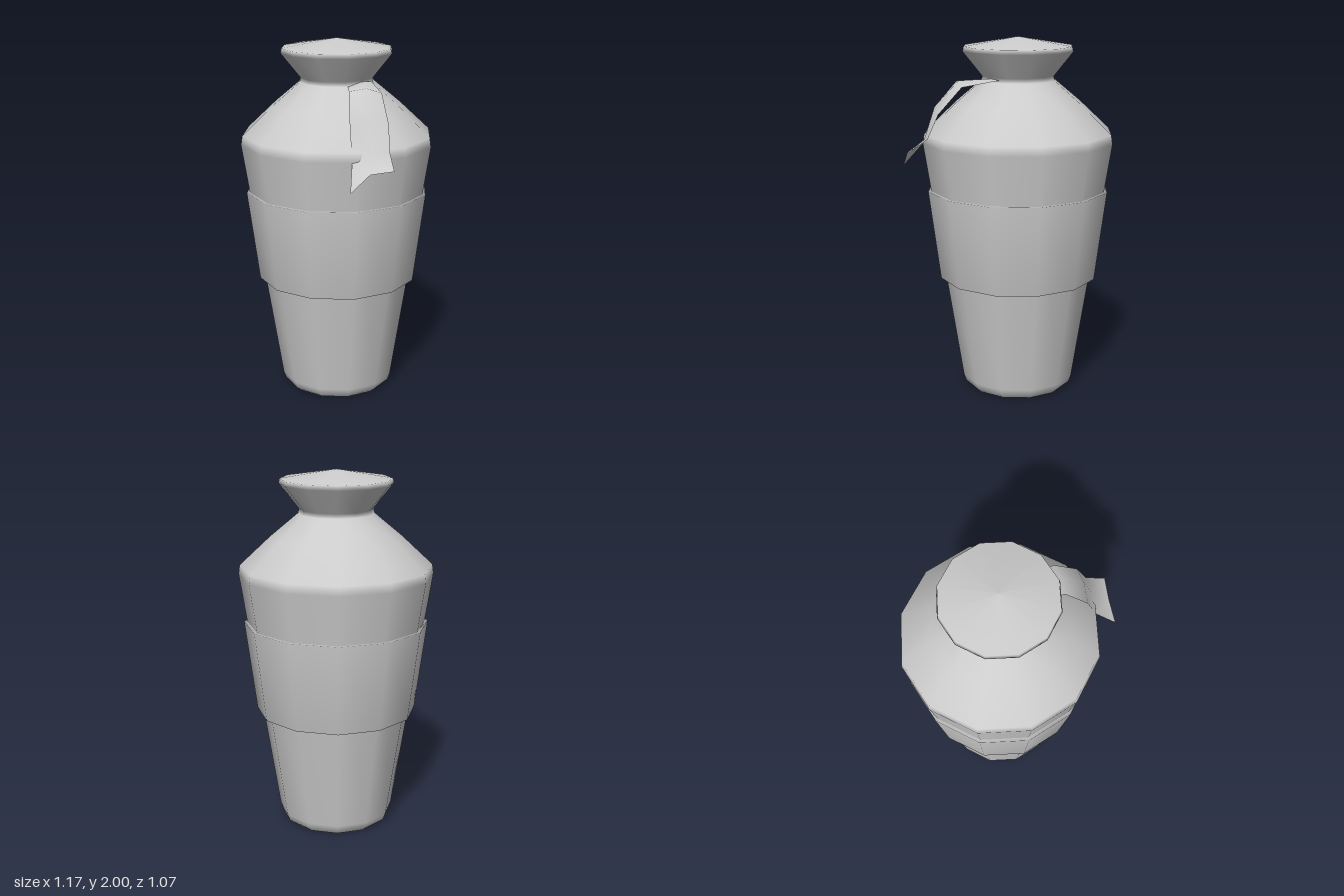
import * as THREE from 'three';

const SIDES = 12;
const AXIS_X = -0.053;
const grey = new THREE.MeshStandardMaterial({ color: 0xcccccc });
const greyDouble = new THREE.MeshStandardMaterial({ color: 0xcccccc, side: THREE.DoubleSide });

// Smooth twelve-sided turned part from [radius, y] pairs, bottom to top
function turned(name, profile, material = grey) {
  const points = profile.map(([r, y]) => new THREE.Vector2(r, y));
  const mesh = new THREE.Mesh(new THREE.LatheGeometry(points, SIDES), material);
  mesh.name = name;
  mesh.position.x = AXIS_X;
  return mesh;
}

// Thin sheet lofted through rows of [x, y, z] points
function sheet(name, rows) {
  const n = rows[0].length;
  const index = [];
  for (let i = 0; i < rows.length - 1; i++) {
    for (let j = 0; j < n - 1; j++) {
      const a = i * n + j, b = a + 1, c = a + n, d = c + 1;
      index.push(a, b, c, b, d, c);
    }
  }
  const geometry = new THREE.BufferGeometry();
  geometry.setAttribute('position', new THREE.Float32BufferAttribute(rows.flat(2), 3));
  geometry.setIndex(index);
  geometry.computeVertexNormals();
  const mesh = new THREE.Mesh(geometry, greyDouble);
  mesh.name = name;
  return mesh;
}

export function createModel() {
  const model = new THREE.Group();
  model.name = 'jar';

  // Tapered body, rounded shoulder, pinched neck and flared, slightly domed top
  model.add(turned('body', [
    [0.285, 0], [0.308, 0.02], [0.322, 0.06], [0.535, 1.43], [0.528, 1.48],
    [0.357, 1.64], [0.207, 1.765], [0.202, 1.79], [0.31, 1.925], [0.304, 1.95], [0, 2],
  ]));

  // Flat underside
  model.add(turned('base', [[0, 0], [0.285, 0]]));

  // Raised label band with closed rims
  model.add(turned('band', [[0.405, 0.655], [0.446, 0.655], [0.511, 1.16], [0.485, 1.16]]));

  // Ribbon tail hanging from the neck: back edge, crest, front edge per row
  model.add(sheet('ribbon', [
    [[0.15, 1.78, -0.065], [0.14, 1.785, 0.0], [0.11, 1.765, 0.07]],
    [[0.33, 1.75, 0.03], [0.29, 1.778, 0.1], [0.24, 1.765, 0.18]],
    [[0.445, 1.61, 0.09], [0.4, 1.64, 0.175], [0.335, 1.61, 0.26]],
    [[0.49, 1.48, 0.125], [0.45, 1.465, 0.205], [0.385, 1.43, 0.29]],
    [[0.585, 1.405, 0.185], [0.51, 1.39, 0.28], [0.465, 1.3, 0.375]],
  ]));

  return model;
}
